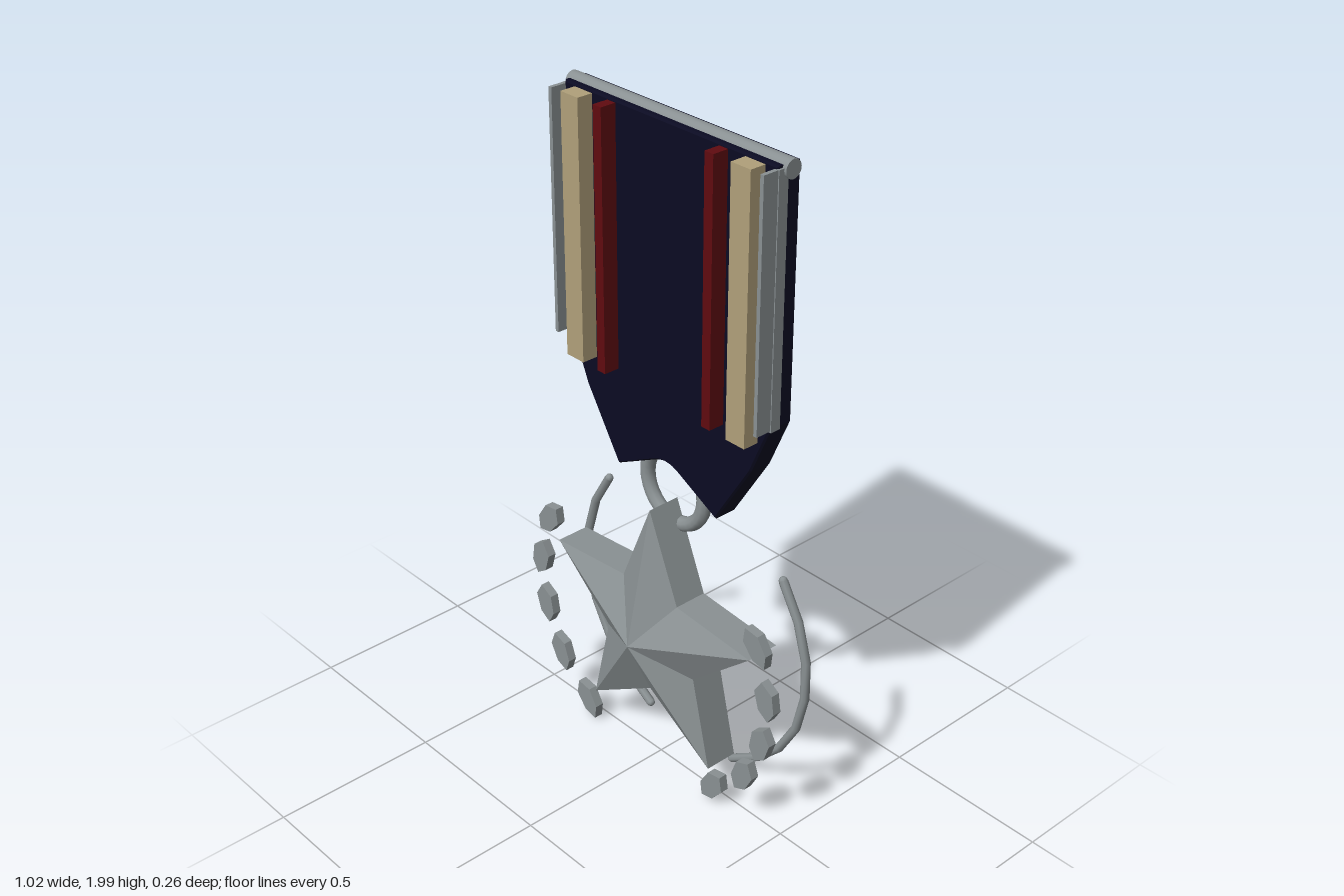
import * as THREE from 'three';

const metal = new THREE.MeshStandardMaterial({ color: 0x8a9193, flatShading: true });
metal.name = 'silver metal';
const smoothMetal = new THREE.MeshStandardMaterial({ color: 0x8a9193 });
smoothMetal.name = 'polished silver metal';
const navy = new THREE.MeshStandardMaterial({ color: 0x0b0b22 });
navy.name = 'navy cloth';
const beige = new THREE.MeshStandardMaterial({ color: 0xb0a07a });
beige.name = 'beige cloth';
const red = new THREE.MeshStandardMaterial({ color: 0x600b10 });
red.name = 'dark red cloth';

function add(parent, name, geometry, material, x = 0, y = 0, z = 0) {
  const mesh = new THREE.Mesh(geometry, material);
  mesh.name = name;
  mesh.position.set(x, y, z);
  parent.add(mesh);
  return mesh;
}

// Box given by its lower and upper bounds on each axis
function strip(parent, name, material, [x0, x1], [y0, y1], [z0, z1]) {
  const box = new THREE.BoxGeometry(x1 - x0, y1 - y0, z1 - z0);
  return add(parent, name, box, material, (x0 + x1) / 2, (y0 + y1) / 2, (z0 + z1) / 2);
}

// Five-pointed star: flat back, straight walls, front faces rising to a peak
function starGeometry(outer, inner, back, rim, peak) {
  const pos = [];
  const point = (i, z) => {
    const a = Math.PI / 2 + (i * Math.PI) / 5;
    const r = i % 2 ? inner : outer;
    return [r * Math.cos(a), r * Math.sin(a), z];
  };
  for (let i = 0; i < 10; i++) {
    const a = point(i, rim), b = point(i + 1, rim);
    const c = point(i, back), d = point(i + 1, back);
    pos.push(...a, ...b, 0, 0, peak);
    pos.push(...c, ...d, ...b, ...c, ...b, ...a);
    pos.push(...d, ...c, 0, 0, back);
  }
  const g = new THREE.BufferGeometry();
  g.setAttribute('position', new THREE.Float32BufferAttribute(pos, 3));
  g.computeVertexNormals();
  return g;
}

function ribbonGeometry() {
  const s = new THREE.Shape();
  s.moveTo(-0.392, 1.987);
  s.lineTo(-0.392, 1.27);
  s.lineTo(-0.325, 1.115);
  s.lineTo(-0.197, 0.91);
  s.lineTo(-0.055, 0.983);
  s.quadraticCurveTo(0, 1.015, 0.055, 0.983);
  s.lineTo(0.197, 0.91);
  s.lineTo(0.325, 1.115);
  s.lineTo(0.392, 1.27);
  s.lineTo(0.392, 1.987);
  return new THREE.ExtrudeGeometry(s, {
    depth: 0.066, bevelThickness: 0.006, bevelSize: 0.005, bevelOffset: -0.005,
    bevelSegments: 1, curveSegments: 8,
  });
}

function leafGeometry() {
  const s = new THREE.Shape();
  [[0, 0.062], [-0.034, 0.028], [-0.03, -0.03], [0, -0.062], [0.03, -0.03], [0.034, 0.028]]
    .forEach(([x, y], i) => (i ? s.lineTo(x, y) : s.moveTo(x, y)));
  return new THREE.ExtrudeGeometry(s, { depth: 0.027, bevelEnabled: false });
}

// Cloth edging and coloured stripes on one half (side = 1 or -1)
function addStripes(parent, side) {
  const span = (a, b) => (side > 0 ? [a, b] : [-b, -a]);
  strip(parent, 'beigeStripe', beige, span(0.282, 0.35), [1.215, 1.98], [-0.02, 0.033]);
  strip(parent, 'redStripe', red, span(0.191, 0.222), [1.215, 1.98], [-0.02, 0.033]);
  strip(parent, 'frontEdging', metal, span(0.384, 0.396), [1.27, 1.98], [-0.013, 0.035]);
  strip(parent, 'sideEdging', metal, span(0.388, 0.398), [1.265, 1.98], [-0.046, -0.014]);
}

// Stem and five leaves on one half
function addBranch(parent, side) {
  const stem = [[0.36, 0.745], [0.42, 0.645], [0.455, 0.535], [0.46, 0.41],
    [0.422, 0.26], [0.32, 0.117], [0.18, 0.02]];
  const path = new THREE.CurvePath();
  const points = stem.map(([x, y]) => new THREE.Vector3(side * x, y, -0.12));
  path.add(new THREE.CatmullRomCurve3(points));
  add(parent, 'stem', new THREE.TubeGeometry(path.curves[0], 7, 0.0135, 8), smoothMetal);
  // Close the stem ends
  [points[0], points[6]].forEach((p) =>
    add(parent, 'stemEnd', new THREE.SphereGeometry(0.013, 8, 6), smoothMetal, p.x, p.y, p.z));
  const leaves = [[0.432, 0.643, 0.65], [0.475, 0.487, 0.22], [0.458, 0.328, -0.25],
    [0.393, 0.182, -0.42], [0.272, 0.07, -0.62]];
  for (const [x, y, turn] of leaves) {
    const leaf = add(parent, 'leaf', leafGeometry(), metal, side * x, y, 0.03);
    leaf.rotation.z = side * turn;
  }
}

export function createModel() {
  const medal = new THREE.Group();
  medal.name = 'medal';

  const ribbon = new THREE.Group();
  ribbon.name = 'ribbon';
  medal.add(ribbon);
  add(ribbon, 'ribbonCloth', ribbonGeometry(), navy, 0, 0, -0.088);
  const bar = add(ribbon, 'topBar', new THREE.CylinderGeometry(0.026, 0.026, 0.81, 20), smoothMetal,
    0, 1.974, -0.056);
  bar.rotation.z = Math.PI / 2;

  add(medal, 'hangingRing', new THREE.TorusGeometry(0.115, 0.022, 10, 32), smoothMetal, 0, 0.911, -0.054);

  // Star with the domed boss behind it
  add(medal, 'star', starGeometry(0.42, 0.19, -0.06, 0.043, 0.13), metal, 0, 0.45, 0);
  const boss = add(medal, 'backBoss', new THREE.SphereGeometry(0.1, 24, 12), smoothMetal, 0, 0.45, -0.083);
  boss.scale.z = 0.12;

  const wreath = new THREE.Group();
  wreath.name = 'wreath';
  medal.add(wreath);
  for (const side of [1, -1]) {
    addStripes(ribbon, side);
    addBranch(wreath, side);
  }
  return medal;
}
